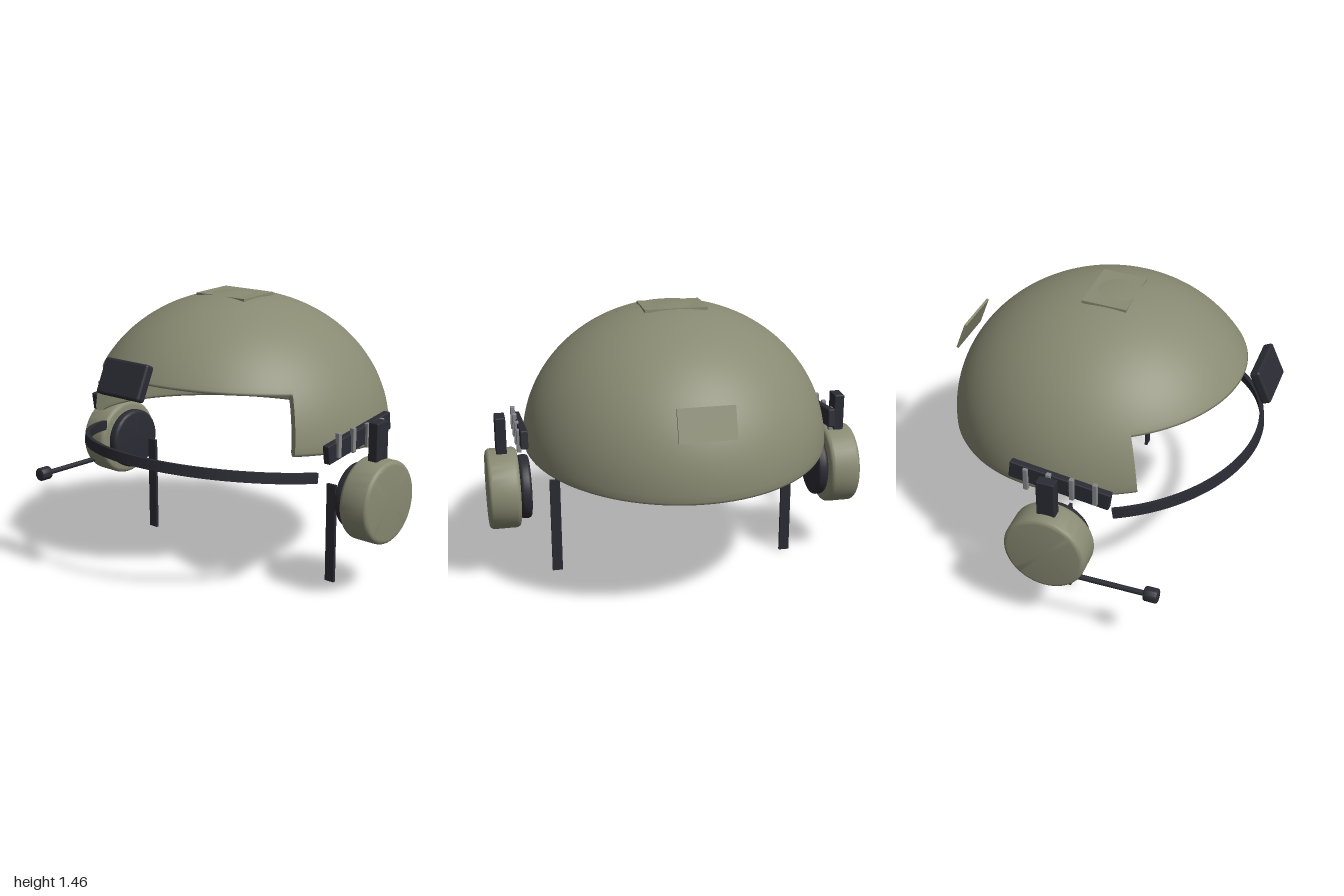
import * as THREE from 'three';
import { toCreasedNormals } from 'three/addons/utils/BufferGeometryUtils.js';
import { RoundedBoxGeometry } from 'three/addons/geometries/RoundedBoxGeometry.js';

const material = (name, color, extra = {}) => {
  const m = new THREE.MeshStandardMaterial({ color, ...extra });
  m.name = name;
  return m;
};

export function createModel() {
  const olive = material('olive', 0x888a72, { side: THREE.DoubleSide });
  const black = material('charcoal', 0x2b2b34);
  const grey = material('grey', 0x85858a);

  const model = new THREE.Group();
  model.name = 'helmet';

  const add = (parent, name, geometry, mat, pos = [0, 0, 0], tilt = 0) => {
    const mesh = new THREE.Mesh(geometry, mat);
    mesh.name = name;
    mesh.position.set(...pos);
    mesh.rotation.x = tilt;
    parent.add(mesh);
    return mesh;
  };
  const rounded = (w, h, d, r) => new RoundedBoxGeometry(w, h, d, 3, r);

  // Rounded disc turned about y, from y = 0 to y = h
  const disc = (radius, h, r) => {
    const pts = [new THREE.Vector2(0, 0)];
    for (let i = 0; i <= 5; i++) {
      const a = (i / 5) * Math.PI / 2;
      pts.push(new THREE.Vector2(radius - r + r * Math.sin(a), r - r * Math.cos(a)));
    }
    for (let i = 0; i <= 5; i++) {
      const a = (i / 5) * Math.PI / 2;
      pts.push(new THREE.Vector2(radius - r + r * Math.cos(a), h - r + r * Math.sin(a)));
    }
    pts.push(new THREE.Vector2(0, h));
    return toCreasedNormals(new THREE.LatheGeometry(pts, 48), 0.5);
  };

  // Shell: closed wall profile that ends in a softened rim at height y0
  const R = 0.82, H = 0.72, WALL = 0.05, WIDTH = 0.8 / R;
  const wallProfile = (y0) => {
    const pts = [], n = 32, soft = 0.025;
    const arc = (r, h, t) => new THREE.Vector2(r * Math.sin(t), h * Math.cos(t));
    const ri = R - WALL, hi = H - WALL;
    const tIn = Math.acos(y0 / hi), tOut = Math.acos(y0 / H);
    for (let i = 0; i <= n; i++) pts.push(arc(ri, hi, (tIn - soft) * i / n));
    const a = ri * Math.sin(tIn), b = R * Math.sin(tOut);
    pts.push(new THREE.Vector2(a + 0.005, y0 + 0.005), new THREE.Vector2(a + 0.018, y0));
    pts.push(new THREE.Vector2(b - 0.018, y0), new THREE.Vector2(b - 0.005, y0 + 0.005));
    for (let i = n; i >= 0; i--) pts.push(arc(R, H, (tOut - soft) * i / n));
    return pts;
  };
  const shell = new THREE.Group();
  shell.name = 'shell';
  shell.position.set(0, 0.74, -0.04);
  shell.rotation.x = -0.073;
  model.add(shell);

  const cut = 1.061, brimY = 0.285;
  const sector = (y0, start, length, segs) =>
    new THREE.LatheGeometry(wallProfile(y0), segs, start, length).scale(WIDTH, 1, 1);
  add(shell, 'shellFront', sector(brimY, -cut, 2 * cut, 40), olive);
  add(shell, 'shellBack', sector(0, cut, 2 * Math.PI - 2 * cut, 72), olive);
  // Wall ends beside the face opening
  for (const s of [-1, 1]) {
    const end = new THREE.Shape(wallProfile(0).filter((p) => p.y < brimY + 0.03));
    const geo = new THREE.ShapeGeometry(end).rotateY(s * cut - Math.PI / 2).scale(WIDTH, 1, 1);
    add(shell, 'openingEdge', geo, olive);
  }

  // Patches and front mount
  add(model, 'topPatch', new THREE.BoxGeometry(0.33, 0.015, 0.235), olive, [0, 1.447, -0.007], 0.04);
  add(model, 'backPatch', new THREE.BoxGeometry(0.285, 0.165, 0.012), olive, [0, 1.08, -0.822], 0.37);
  add(model, 'frontMount', rounded(0.29, 0.183, 0.053, 0.014), black, [0, 1.127, 0.805], -0.43);

  // Curved band in front of the face
  const half = 1.25, mid = Math.PI / 2;
  const arcShape = new THREE.Shape();
  arcShape.absarc(0, 0, 0.8, mid - half, mid + half, false);
  arcShape.absarc(0, 0, 0.777, mid + half, mid - half, true);
  const band = new THREE.ExtrudeGeometry(arcShape, { depth: 0.052, bevelEnabled: false, curveSegments: 48 });
  band.translate(0, 0, -0.026).rotateX(Math.PI / 2);
  add(model, 'faceBand', toCreasedNormals(band, 0.5), black, [0, 0.62, 0], -0.127);

  // Side rails, headset cups and straps
  for (const s of [-1, 1]) {
    const side = new THREE.Group();
    side.name = s > 0 ? 'leftSide' : 'rightSide';
    model.add(side);

    add(side, 'rail', rounded(0.038, 0.095, 0.525, 0.006), black, [s * 0.811, 0.818, 0], 0.14);
    for (const z of [0.19, 0.07, -0.05, -0.17]) {
      add(side, 'railClip', rounded(0.024, 0.125, 0.025, 0.004), grey, [s * 0.833, 0.822, z]);
    }
    add(side, 'cupArm', rounded(0.055, 0.22, 0.095, 0.006), black, [s * 0.917, 0.803, -0.025]);

    const cup = add(side, 'earCup', disc(0.214, 0.165, 0.025), olive, [s * 0.835, 0.508, -0.025]);
    const pad = add(side, 'earPad', disc(0.17, 0.06, 0.02), black, [s * 0.775, 0.508, -0.025]);
    cup.rotation.z = pad.rotation.z = -s * Math.PI / 2;

    add(side, 'strap', new THREE.BoxGeometry(0.055, 0.53, 0.016), black, [s * 0.642, 0.265, -0.025]);
  }

  // Microphone on the right cup
  const boom = new THREE.CylinderGeometry(0.014, 0.014, 0.42, 16).rotateX(Math.PI / 2);
  add(model, 'microphoneBoom', boom, black, [-0.963, 0.385, 0.3]);
  add(model, 'microphone', disc(0.037, 0.072, 0.01), black, [-0.963, 0.387, 0.488], Math.PI / 2);

  return model;
}
